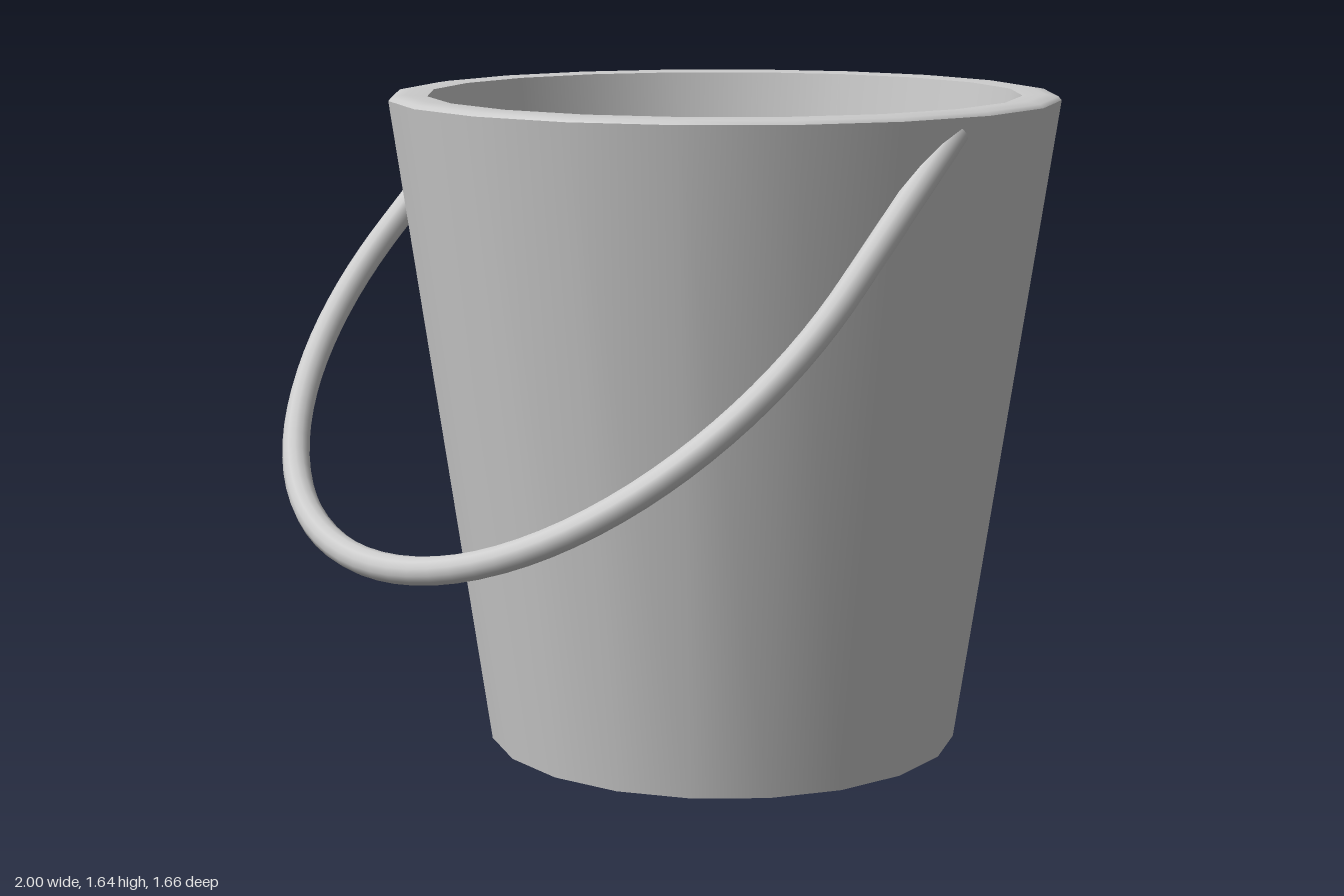
import * as THREE from 'three';

const material = new THREE.MeshStandardMaterial({ color: 0xcccccc });
const SIDES = 20;
const CENTER_X = 0.167;

// One ring-shaped surface of the bucket; separate surfaces keep the edges sharp
function ring(name, profile) {
  const points = profile.map(([r, y]) => new THREE.Vector2(r, y));
  const mesh = new THREE.Mesh(new THREE.LatheGeometry(points, SIDES), material);
  mesh.name = name;
  return mesh;
}

// Centre line of the bail: straight arms joined by a half ellipse, in a tilted plane
class BailCurve extends THREE.Curve {
  getPoint(t, target = new THREE.Vector3()) {
    const bendX = -0.26, armX = 0.1, reach = 0.707, halfWidth = 0.785;
    const arm = 0.12;
    let x, z;
    if (t < arm) {
      x = THREE.MathUtils.lerp(armX, bendX, t / arm);
      z = halfWidth;
    } else if (t > 1 - arm) {
      x = THREE.MathUtils.lerp(armX, bendX, (1 - t) / arm);
      z = -halfWidth;
    } else {
      const a = ((t - arm) / (1 - 2 * arm)) * Math.PI;
      x = bendX - reach * Math.sin(a);
      z = halfWidth * Math.cos(a);
    }
    return target.set(x, 0.625 + 0.9 * (x + 0.967), z);
  }
}

export function createModel() {
  const model = new THREE.Group();
  model.name = 'bucket';

  // Tapered body, hollow with a thick wall
  const body = new THREE.Group();
  body.name = 'body';
  body.position.x = CENTER_X;
  body.add(
    ring('base', [[0, 0], [0.595, 0]]),
    ring('outerWall', [[0.595, 0], [0.83, 1.622]]),
    ring('rim', [[0.83, 1.622], [0.822, 1.631], [0.79, 1.636], [0.735, 1.632]]),
    ring('innerWall', [[0.735, 1.632], [0.505, 0.06]]),
    ring('floor', [[0.505, 0.06], [0, 0.06]])
  );
  model.add(body);

  // Bail handle resting to one side, its ends sunk into the wall
  const handle = new THREE.Mesh(new THREE.TubeGeometry(new BailCurve(), 64, 0.033, 12), material);
  handle.name = 'handle';
  model.add(handle);

  return model;
}
